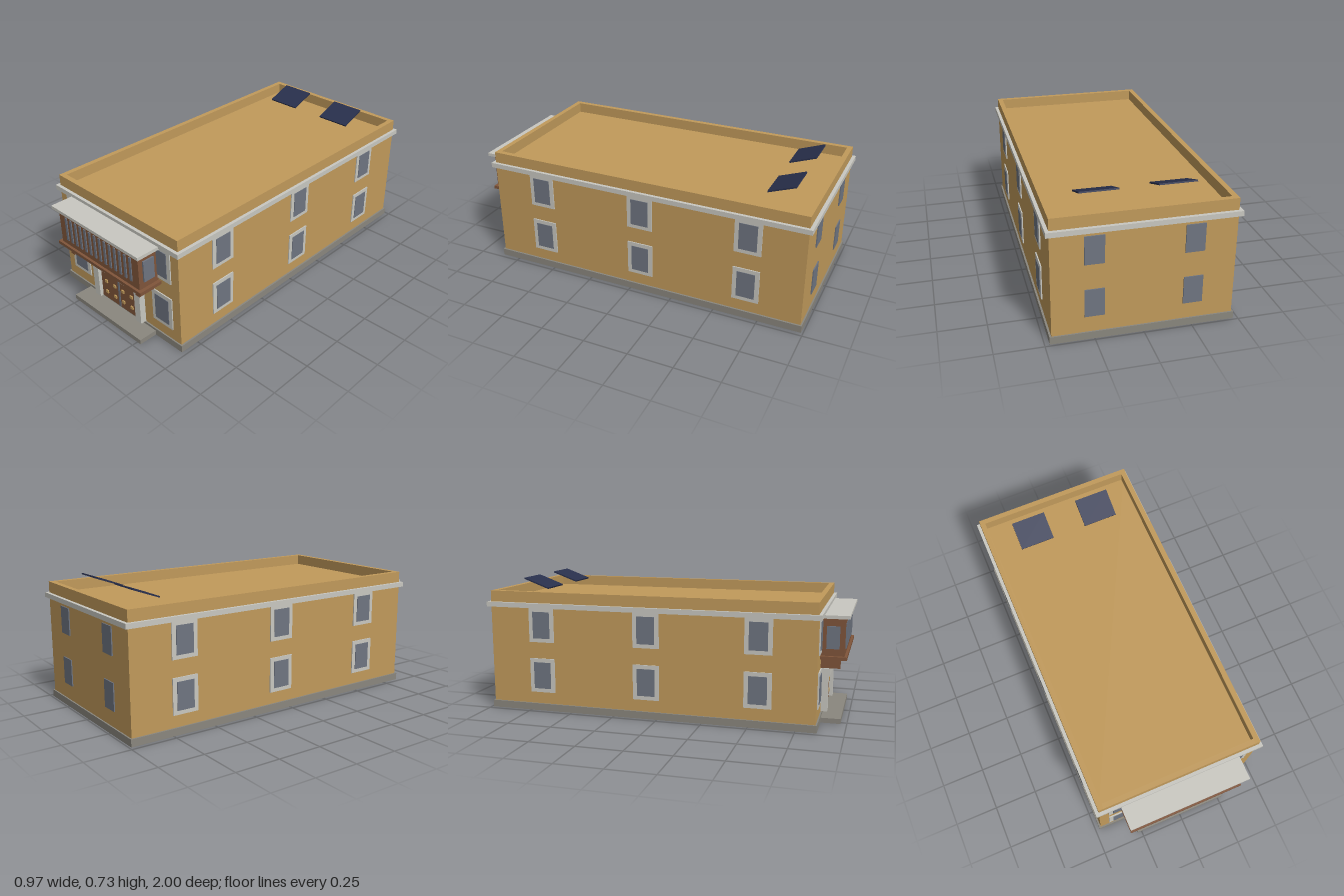
import * as THREE from 'three';

const mat = (name, color) => {
  const m = new THREE.MeshStandardMaterial({ color });
  m.name = name;
  return m;
};

export function createModel() {
  const ochre = mat('ochre plaster', 0xc19a5b);
  const stone = mat('pale stone', 0xc9c8c1);
  const base = mat('grey stone', 0x8a877e);
  const wood = mat('brown wood', 0x80553a);
  const glass = mat('slate glass', 0x6f7581);
  const navy = mat('navy panel', 0x29304d);

  const model = new THREE.Group();
  model.name = 'townHouse';

  // Box given by its limits on each axis
  const box = (name, m, x0, x1, y0, y1, z0, z1, parent = model) => {
    const mesh = new THREE.Mesh(new THREE.BoxGeometry(x1 - x0, y1 - y0, z1 - z0), m);
    mesh.position.set((x0 + x1) / 2, (y0 + y1) / 2, (z0 + z1) / 2);
    mesh.name = name;
    parent.add(mesh);
    return mesh;
  };

  const W = 0.465, FRONT = 0.853, BACK = -0.981;

  // Main block, plinth, entrance step and cornice
  box('plinth', base, -0.475, 0.475, 0, 0.04, BACK - 0.008, FRONT + 0.008);
  box('walls', ochre, -W, W, 0.04, 0.615, BACK, FRONT);
  box('entranceStep', base, -0.276, 0.276, 0, 0.027, FRONT, 0.967);
  box('cornice', stone, -0.483, 0.483, 0.586, 0.613, -1, FRONT + 0.018);

  // Parapet around the flat roof
  const T = 0.029;
  for (const s of [-1, 1]) {
    const x = s * (W - T / 2);
    box('parapetSide', ochre, x - T / 2, x + T / 2, 0.614, 0.675, BACK, FRONT);
  }
  box('parapetFront', ochre, -W + T, W - T, 0.614, 0.675, FRONT - T, FRONT);
  box('parapetBack', ochre, -W + T, W - T, 0.614, 0.675, BACK, BACK + T);

  // Window facing local +z, turned to its wall
  const addWindow = (x, y, z, turn, framed) => {
    const g = new THREE.Group();
    g.name = 'window';
    if (framed) box('windowFrame', stone, -0.074, 0.074, -0.097, 0.097, -0.005, 0.006, g);
    box('windowGlass', glass, -0.05, 0.05, -0.075, 0.075, -0.005, framed ? 0.009 : 0.006, g);
    g.position.set(x, y, z);
    g.rotation.y = turn;
    model.add(g);
  };
  for (const y of [0.203, 0.49]) {
    for (const s of [-1, 1]) {
      addWindow(s * 0.336, y, FRONT, 0, true);
      addWindow(s * 0.25, y, BACK, Math.PI, false);
      for (const z of [0.55, -0.062, -0.674]) addWindow(s * W, y, z, s * Math.PI / 2, true);
    }
  }

  // Doorway with stone surround and studded double door
  const door = new THREE.Group();
  door.name = 'doorway';
  model.add(door);
  box('lintel', stone, -0.197, 0.197, 0.238, 0.282, FRONT - 0.01, 0.896, door);
  for (const s of [-1, 1]) {
    box('doorJamb', stone, s * 0.171 - 0.022, s * 0.171 + 0.022, 0.04, 0.238, FRONT - 0.01, 0.888, door);
    const x = s * 0.078;
    box('doorLeaf', wood, x - 0.071, x + 0.071, 0.04, 0.238, FRONT - 0.01, 0.868, door);
    for (const sx of [0.034, 0.104])
      for (const y of [0.088, 0.158])
        box('doorStud', ochre, s * sx - 0.009, s * sx + 0.009, y - 0.009, y + 0.009, 0.866, 0.875, door);
  }
  box('doorSeam', glass, -0.007, 0.007, 0.04, 0.238, FRONT - 0.01, 0.871, door);

  // Enclosed wooden balcony
  const balcony = new THREE.Group();
  balcony.name = 'balcony';
  model.add(balcony);
  box('balconyFloor', wood, -0.335, 0.335, 0.358, 0.376, FRONT - 0.01, 0.99, balcony);
  box('balconyBox', wood, -0.315, 0.315, 0.376, 0.577, FRONT - 0.01, 0.976, balcony);
  box('balconyRoof', stone, -0.345, 0.345, 0.577, 0.595, FRONT - 0.01, 1, balcony);
  for (let i = 0; i < 14; i++) {
    const x = (i - 6.5) * 0.0396;
    box('balconySlot', glass, x - 0.008, x + 0.008, 0.407, 0.545, 0.972, 0.981, balcony);
  }
  for (const s of [-1, 1]) {
    const x = s * 0.319;
    box('balconySideWindow', glass, x - 0.005, x + 0.005, 0.415, 0.535, 0.882, 0.95, balcony);
    box('balconyBracket', wood, s * 0.267 - 0.015, s * 0.267 + 0.015, 0.303, 0.358, FRONT - 0.01, 0.955, balcony);
  }

  // Tilted solar panels near the back of the roof
  for (const s of [-1, 1]) {
    const p = box('solarPanel', navy, s * 0.197 - 0.0985, s * 0.197 + 0.0985, 0.699, 0.707, -0.861, -0.703);
    p.rotation.x = 0.35;
  }

  return model;
}
